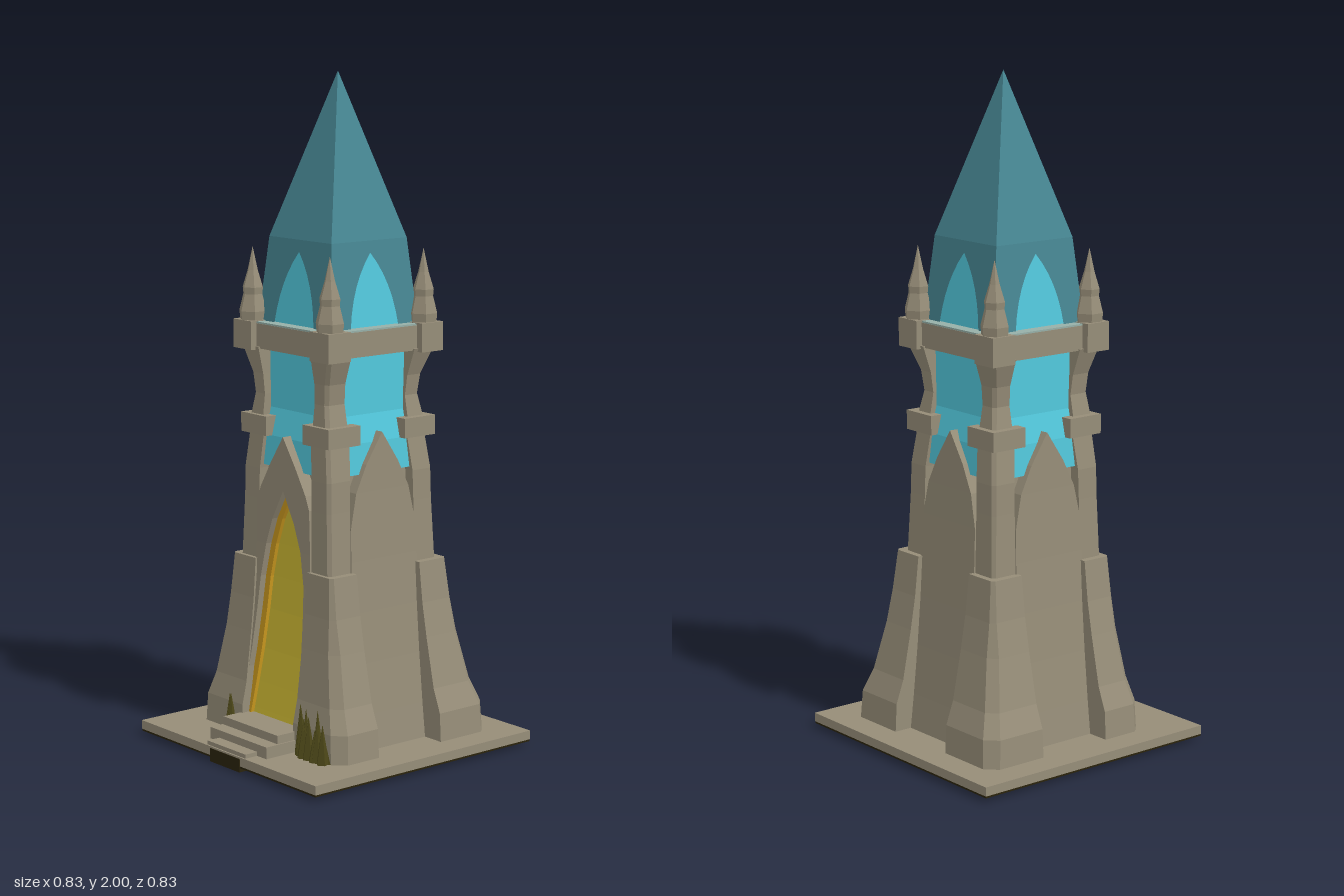
import * as THREE from 'three';

const mat = (name, color, side = THREE.FrontSide) => {
  const m = new THREE.MeshStandardMaterial({ color, side });
  m.name = name;
  return m;
};
const M = {
  stone: mat('stone', 0x968d78),
  roof: mat('teal roof', 0x478793, THREE.DoubleSide),
  glass: mat('cyan glass', 0x52c8dc),
  ledge: mat('pale ledge', 0x96b0a8),
  door: mat('golden door', 0xcbb733),
  reveal: mat('amber reveal', 0xc9981f),
  moss: mat('moss', 0x4c4718),
  earth: mat('dark earth', 0x2a230d),
};

const add = (parent, name, geo, material, x = 0, y = 0, z = 0) => {
  const m = new THREE.Mesh(geo, material);
  m.name = name;
  m.position.set(x, y, z);
  parent.add(m);
  return m;
};

// box given by its limits
const block = (parent, name, material, x0, x1, y0, y1, z0, z1) =>
  add(parent, name, new THREE.BoxGeometry(Math.abs(x1 - x0), y1 - y0, Math.abs(z1 - z0)), material,
    (x0 + x1) / 2, (y0 + y1) / 2, (z0 + z1) / 2);

// flat-shaded solid through horizontal rings: rows of [y, [[x, z], ...]]
function loft(rows) {
  const p = rows[0][1];
  let area = 0;
  p.forEach((a, i) => { const b = p[(i + 1) % p.length]; area += a[0] * b[1] - b[0] * a[1]; });
  const rings = rows.map(([y, pts]) => {
    const r = pts.map(([x, z]) => [x, y, z]);
    return area > 0 ? r.reverse() : r;
  });
  const v = [], n = p.length, tri = (a, b, c) => v.push(...a, ...b, ...c);
  for (let k = 0; k + 1 < rings.length; k++) {
    for (let i = 0; i < n; i++) {
      const j = (i + 1) % n, a = rings[k], b = rings[k + 1];
      tri(a[i], a[j], b[j]);
      tri(a[i], b[j], b[i]);
    }
  }
  const lo = rings[0], hi = rings[rings.length - 1];
  for (let i = 1; i + 1 < n; i++) {
    tri(hi[0], hi[i], hi[i + 1]);
    tri(lo[0], lo[i + 1], lo[i]);
  }
  const g = new THREE.BufferGeometry();
  g.setAttribute('position', new THREE.Float32BufferAttribute(v, 3));
  g.computeVertexNormals();
  return g;
}
const rect = (x0, x1, z0, z1) => [[x0, z0], [x1, z0], [x1, z1], [x0, z1]];
const square = (h) => rect(-h, h, -h, h);

// linear interpolation in a short table of [y, value]
const lerpTable = (t, y) => {
  for (let i = 0; i + 1 < t.length; i++) {
    if (y <= t[i + 1][0]) return t[i][1] + (t[i + 1][1] - t[i][1]) * Math.max(0, (y - t[i][0]) / (t[i + 1][0] - t[i][0]));
  }
  return t[t.length - 1][1];
};

// corner pier: buttress, shaft, capital, upper column and pinnacle
function addCorner(tower, sx, sz) {
  const g = new THREE.Group();
  g.name = 'cornerPier';
  tower.add(g);
  const ring = ([y, o, i, c]) => {
    const oz = sz > 0 ? 0.2 + (o - 0.2) * 0.55 : 0.2 + (o - 0.2) * 0.9;
    return [y, [[i, i], [o, i], [o, oz - c], [o - c, oz], [i, oz]].map(([x, z]) => [x * sx, z * sz])];
  };
  add(g, 'buttress', loft([[0.045, 0.33, 0.12, 0.035], [0.13, 0.325, 0.12, 0.035], [0.2, 0.297, 0.12, 0.03],
    [0.35, 0.264, 0.12, 0.025], [0.45, 0.245, 0.12, 0.015], [0.57, 0.23, 0.12, 0.01]].map(ring)), M.stone);
  add(g, 'shaft', loft([[0.57, 0.208, 0.122, 0.01], [0.75, 0.2, 0.122, 0.01], [0.84, 0.198, 0.12, 0.01],
    [0.94, 0.185, 0.11, 0.01]].map(ring)), M.stone);
  block(g, 'capital', M.stone, sx * 0.085, sx * 0.203, 0.94, 0.998, sz * 0.085, sz * 0.203);
  add(g, 'upperColumn', loft([[0.99, 0.182, 0.115, 0.01], [1.06, 0.168, 0.115, 0.01], [1.12, 0.175, 0.118, 0.01],
    [1.2, 0.204, 0.12, 0.01]].map(ring)), M.stone);
  block(g, 'bandBlock', M.stone, sx * 0.135, sx * 0.22, 1.19, 1.275, sz * 0.135, sz * 0.217);
  const prof = [[0.04, 1.27], [0.043, 1.3], [0.03, 1.35], [0.032, 1.37], [0.016, 1.42], [0, 1.49]];
  const spire = new THREE.LatheGeometry(prof.map(([r, y]) => new THREE.Vector2(r, y)), 6).toNonIndexed();
  spire.computeVertexNormals();
  add(g, 'pinnacle', spire, M.stone, sx * 0.177, 0, sz * 0.177);
}

// pointed wall panel on one side
function addWall(tower, angle) {
  const w = [[0.045, 0.135], [0.4, 0.13], [0.7, 0.122], [0.8, 0.1], [0.88, 0.06], [0.97, 0]];
  const rows = [0.045, 0.15, 0.3, 0.45, 0.6, 0.7, 0.8, 0.88, 0.97].map((y) => {
    const h = lerpTable(w, y);
    return [y, rect(-h, h, 0.1, 0.2 + 0.066 * (1 - y) ** 2)];
  });
  add(tower, 'wallPanel', loft(rows), M.stone).rotation.y = angle;
}

// front portal with pointed door
function addPortal(tower) {
  const outer = [[0.045, 0.155], [0.3, 0.14], [0.55, 0.127], [0.75, 0.12], [0.8, 0.1], [0.87, 0.055], [0.95, 0]];
  const inner = [[0.045, 0.138], [0.3, 0.115], [0.52, 0.1], [0.62, 0.08], [0.7, 0.05], [0.79, 0], [0.95, 0]];
  const depth = (y) => 0.208 + 0.075 * Math.max(0, 1 - y / 0.62) ** 1.5;
  const ys = [0.045, 0.12, 0.2, 0.3, 0.42, 0.52, 0.62, 0.7, 0.75, 0.79];
  const a = (y) => lerpTable(inner, y);
  for (const s of [-1, 1]) {
    add(tower, 'portalJamb', loft([...ys, 0.87, 0.95].map((y) =>
      [y, rect(s * a(y), s * lerpTable(outer, y), 0.1, depth(y))])), M.stone);
    add(tower, 'doorReveal', loft(ys.map((y) =>
      [y, rect(s * Math.max(0, a(y) - 0.022), s * a(y), 0.1, depth(y) - 0.02)])), M.reveal);
  }
  add(tower, 'door', loft(ys.map((y) => [y, rect(-a(y), a(y), 0.1, depth(y) - 0.032)])), M.door);
}

// one roof face: skirt with an arched notch, and the slope to the apex
function addRoofSide(roof, angle) {
  const half = [[1.27, 0.166], [1.52, 0.142], [2, 0]];
  const skirt = new THREE.Shape();
  skirt.moveTo(-0.166, 1.27);
  skirt.lineTo(-0.09, 1.27);
  skirt.quadraticCurveTo(-0.075, 1.4, 0, 1.485);
  skirt.quadraticCurveTo(0.075, 1.4, 0.09, 1.27);
  skirt.lineTo(0.166, 1.27);
  skirt.lineTo(0.142, 1.52);
  skirt.lineTo(-0.142, 1.52);
  const slope = new THREE.Shape([[-0.142, 1.52], [0.142, 1.52], [0, 2]].map(([x, y]) => new THREE.Vector2(x, y)));
  for (const [name, shape] of [['roofSkirt', skirt], ['roofSlope', slope]]) {
    const g = new THREE.ShapeGeometry(shape, 6).toNonIndexed();
    const p = g.attributes.position;
    for (let i = 0; i < p.count; i++) p.setZ(i, lerpTable(half, p.getY(i)));
    g.computeVertexNormals();
    add(roof, name, g, M.roof).rotation.y = angle;
  }
}

export function createModel() {
  const model = new THREE.Group();
  model.name = 'tower';

  // ground slab and steps
  block(model, 'groundSlab', M.stone, -0.415, 0.415, 0.018, 0.045, -0.415, 0.415);
  block(model, 'slabUnderside', M.earth, -0.414, 0.414, 0.012, 0.018, -0.414, 0.414);
  block(model, 'earthClod', M.earth, -0.07, 0.07, 0, 0.04, 0.37, 0.417);
  block(model, 'lowStep', M.stone, -0.09, 0.09, 0.045, 0.057, 0.35, 0.41);
  block(model, 'middleStep', M.stone, -0.133, 0.133, 0.045, 0.08, 0.2, 0.367);
  block(model, 'topStep', M.stone, -0.128, 0.128, 0.08, 0.105, 0.2, 0.322);

  // body
  const tower = new THREE.Group();
  tower.name = 'towerBody';
  tower.position.z = -0.012;
  model.add(tower);
  add(tower, 'stoneCore', loft([[0.045, square(0.19)], [0.86, square(0.165)]]), M.stone);
  add(tower, 'glassCore', loft([[0.85, square(0.185)], [0.94, square(0.18)], [1.02, square(0.16)],
    [1.27, square(0.157)], [1.5, square(0.134)]]), M.glass);
  block(tower, 'band', M.stone, -0.197, 0.197, 1.195, 1.268, -0.197, 0.197);
  block(tower, 'bandLedge', M.ledge, -0.196, 0.196, 1.267, 1.273, -0.196, 0.196);
  for (const sx of [-1, 1]) for (const sz of [-1, 1]) addCorner(tower, sx, sz);
  for (const k of [1, 2, 3]) addWall(tower, k * Math.PI / 2);
  addPortal(tower);

  // roof
  const roof = new THREE.Group();
  roof.name = 'roof';
  tower.add(roof);
  for (let k = 0; k < 4; k++) addRoofSide(roof, k * Math.PI / 2);

  // moss tufts at the foot of the front buttresses
  let seed = 7;
  const rnd = () => (seed = (seed * 16807) % 2147483647) / 2147483647;
  for (let i = 0; i < 26; i++) {
    const left = i < 20, h = 0.06 + rnd() * (left ? 0.1 : 0.06);
    const x = left ? 0.145 + rnd() * 0.14 : -0.15 - rnd() * 0.035;
    const tuft = new THREE.ConeGeometry(0.02, h, 5).toNonIndexed();
    tuft.computeVertexNormals();
    add(model, 'mossTuft', tuft, M.moss, x, 0.045 + h / 2, 0.245 + rnd() * 0.03);
  }
  return model;
}
